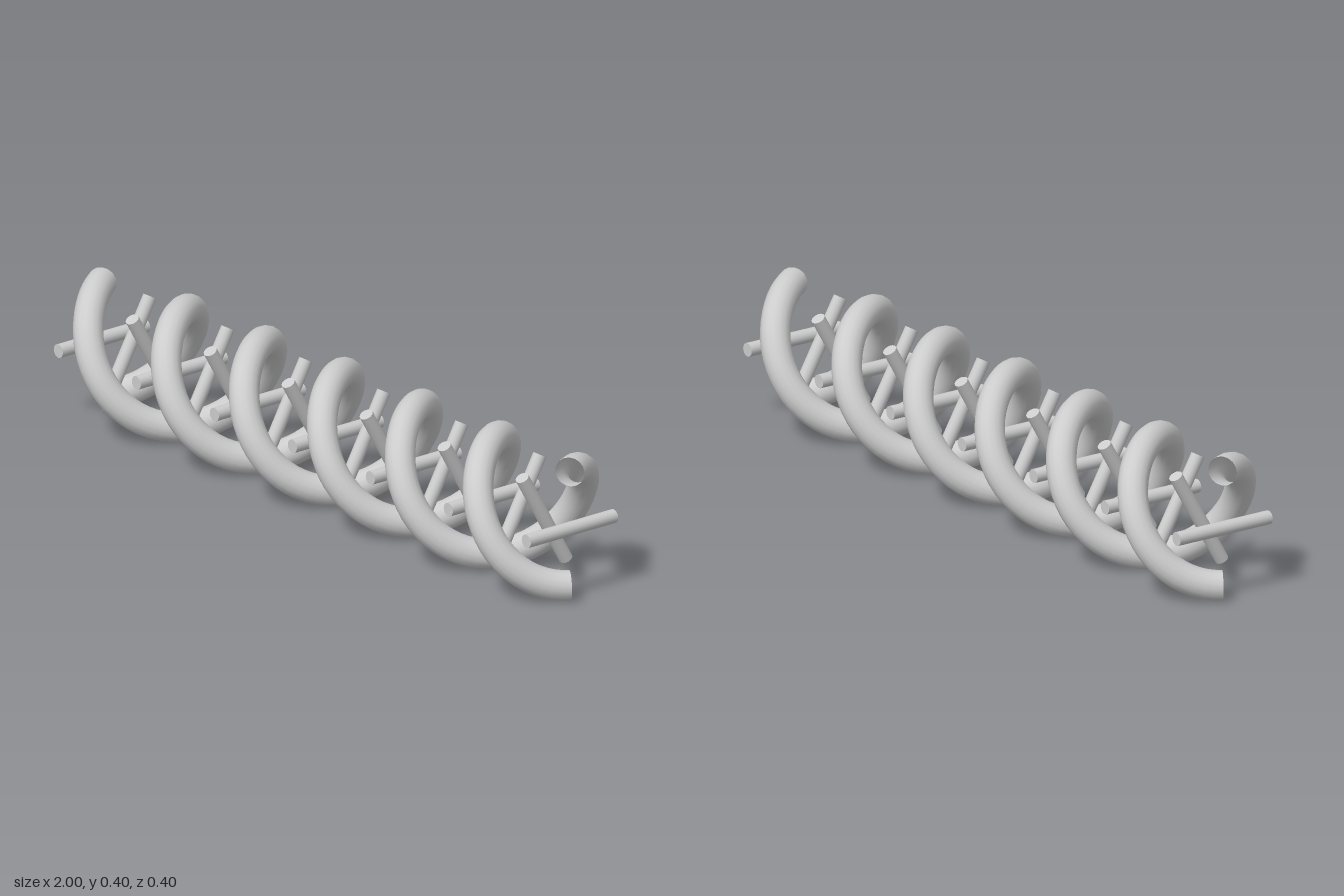
import * as THREE from 'three';

const LENGTH = 1.93, RADIUS = 0.161, TUBE = 0.041, CENTRE_Y = 0.202;
const TURNS = 3, RUNGS = 19;

// One strand winding around the x axis
class Helix extends THREE.Curve {
  constructor(phase) {
    super();
    this.phase = phase;
  }
  getPoint(t, target = new THREE.Vector3()) {
    const a = t * TURNS * Math.PI * 2 + this.phase;
    return target.set((t - 0.5) * LENGTH, RADIUS * Math.cos(a), RADIUS * Math.sin(a));
  }
}

export function createModel() {
  const group = new THREE.Group();
  group.name = 'doubleHelix';

  const grey = new THREE.MeshStandardMaterial({ color: 0xcccccc, side: THREE.DoubleSide });
  grey.name = 'lightGrey';

  // Two open-ended strands, half a turn apart
  ['strandA', 'strandB'].forEach((name, i) => {
    const strand = new THREE.Mesh(new THREE.TubeGeometry(new Helix(i * Math.PI), 144, TUBE, 16, false), grey);
    strand.name = name;
    strand.position.y = CENTRE_Y;
    group.add(strand);
  });

  // Rungs turn with the helix, a quarter turn out of step with the strands
  const rungGeometry = new THREE.CylinderGeometry(0.019, 0.019, 0.305, 16);
  for (let i = 0; i < RUNGS; i++) {
    const t = i / (RUNGS - 1);
    const rung = new THREE.Mesh(rungGeometry, grey);
    rung.name = `rung${i + 1}`;
    rung.position.set((t - 0.5) * LENGTH, CENTRE_Y, 0);
    rung.rotation.x = t * TURNS * Math.PI * 2 + Math.PI / 2;
    group.add(rung);
  }

  return group;
}
